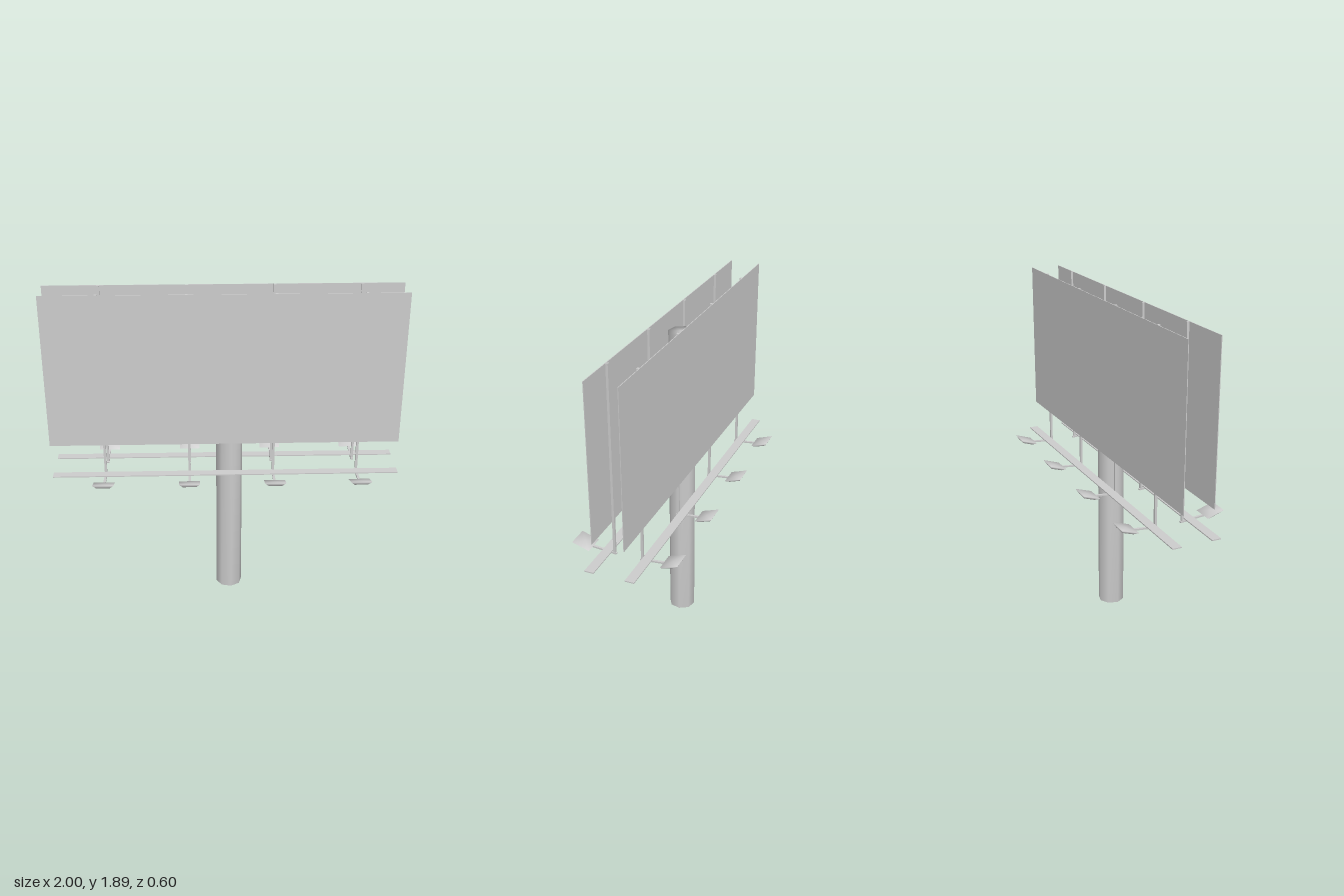
import * as THREE from 'three';
import { mergeVertices } from 'three/addons/utils/BufferGeometryUtils.js';

const grey = new THREE.MeshStandardMaterial({ color: 0xcccccc });

function addMesh(parent, name, geometry, x, y, z) {
  const mesh = new THREE.Mesh(geometry, grey);
  mesh.name = name;
  mesh.position.set(x, y, z);
  parent.add(mesh);
  return mesh;
}

// Shares corners between faces so the shading runs smoothly over every edge
function softened(geometry) {
  geometry.deleteAttribute('normal');
  geometry.deleteAttribute('uv');
  const merged = mergeVertices(geometry);
  merged.computeVertexNormals();
  return merged;
}

// Shallow lamp housing: wide rectangular top, narrower underside
function lampGeometry() {
  const g = new THREE.CylinderGeometry(Math.SQRT1_2, 0.45, 0.018, 4);
  g.rotateY(Math.PI / 4);
  g.scale(0.12, 1, 0.103);
  return softened(g);
}

// One display face with its posts, catwalk and lamps, facing +z
function createSide(name, sign) {
  const side = new THREE.Group();
  side.name = name;
  addMesh(side, 'panel', new THREE.BoxGeometry(2, 0.89, 0.004), 0, 1.445, 0.089);
  addMesh(side, 'catwalk', new THREE.BoxGeometry(1.99, 0.006, 0.052), sign * 0.005, 0.823, 0.114);

  const postGeometry = new THREE.BoxGeometry(0.014, 1.08, 0.013);
  const armGeometry = new THREE.BoxGeometry(0.014, 0.009, 0.17);
  const lampShape = lampGeometry();
  for (let i = 0; i < 4; i++) {
    const x = sign * (-0.69 + i * 0.485);
    addMesh(side, 'post', postGeometry, x, 1.35, 0.0805);
    addMesh(side, 'lampArm', armGeometry, x, 0.811, 0.154).rotation.x = -0.09;
    addMesh(side, 'lamp', lampShape, x, 0.828, 0.256).rotation.x = -0.32;
  }
  return side;
}

export function createModel() {
  const model = new THREE.Group();
  model.name = 'billboard';

  // Eight-sided main column, set slightly off centre
  const columnGeometry = softened(new THREE.CylinderGeometry(0.077, 0.077, 1.8, 8));
  addMesh(model, 'column', columnGeometry, 0.027, 0.9, 0).rotation.y = 0.14;

  // Two faces back to back; the sign keeps the lamps aligned across them
  const front = createSide('frontSide', 1);
  const back = createSide('backSide', -1);
  back.rotation.y = Math.PI;
  model.add(front, back);
  return model;
}
